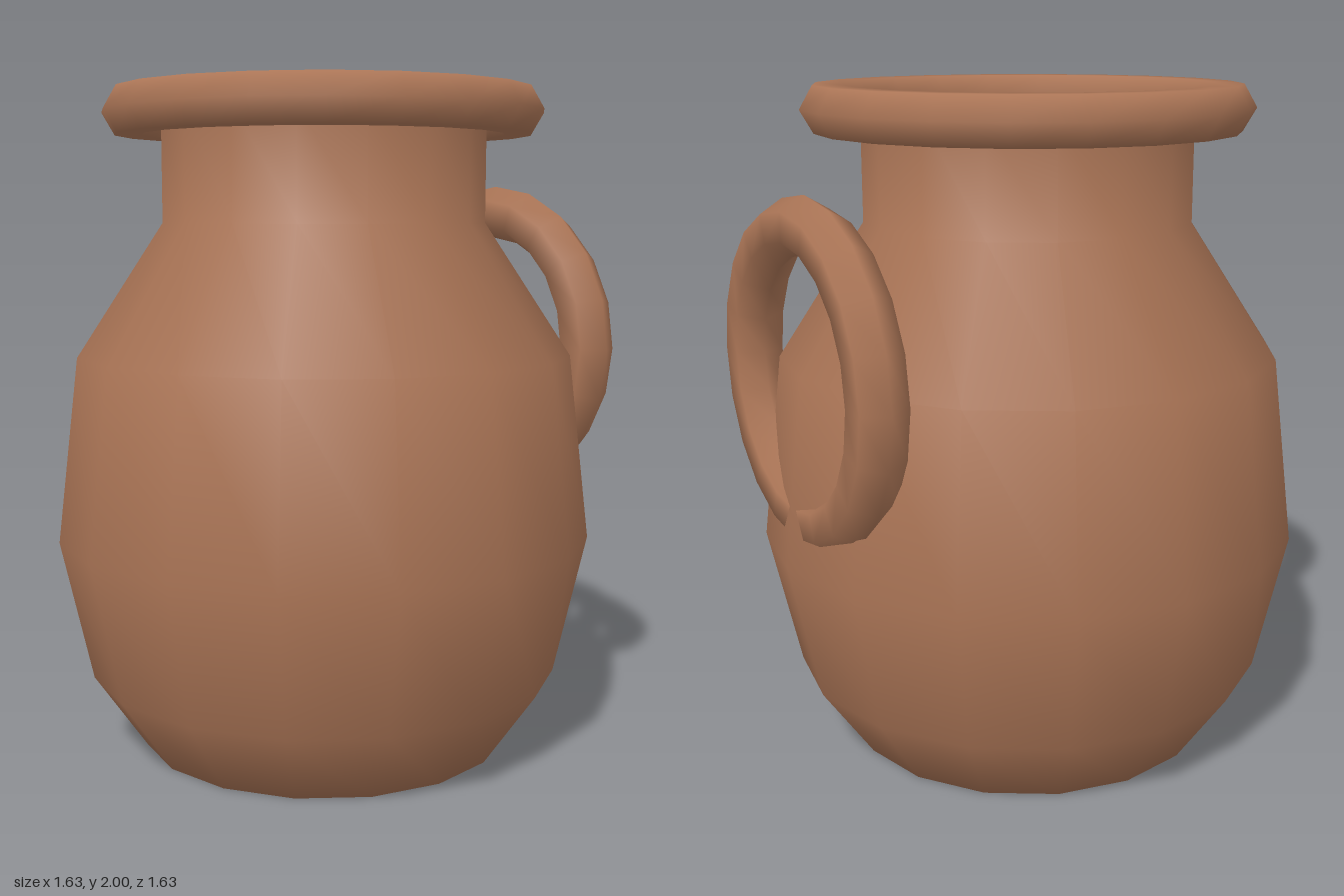
import * as THREE from 'three';

export function createModel() {
  const clay = new THREE.MeshStandardMaterial({ color: 0xab7556, side: THREE.DoubleSide });
  clay.name = 'terracotta';

  const model = new THREE.Group();
  model.name = 'jug';
  const add = (name, geometry) => {
    const mesh = new THREE.Mesh(geometry, clay);
    mesh.name = name;
    model.add(mesh);
    return mesh;
  };

  // Open, thin-walled body with a closed floor, profile from floor to neck
  const profile = [
    [0, 0], [0.56, 0], [0.72, 0.23], [0.815, 0.655],
    [0.75, 1.21], [0.49, 1.605], [0.49, 1.93],
  ].map(([r, y]) => new THREE.Vector2(r, y));
  add('body', new THREE.LatheGeometry(profile, 16));

  // Rolled rim around the mouth
  const rim = add('rim', new THREE.TorusGeometry(0.588, 0.078, 6, 20));
  rim.rotation.x = Math.PI / 2;
  rim.position.y = 1.932;

  // Ring handle on the left side, its lower end sunk into the body
  const handle = add('handle', new THREE.TorusGeometry(0.424, 0.084, 6, 20));
  handle.rotation.y = Math.PI / 2;
  handle.position.set(0.717, 1.212, 0);

  return model;
}
